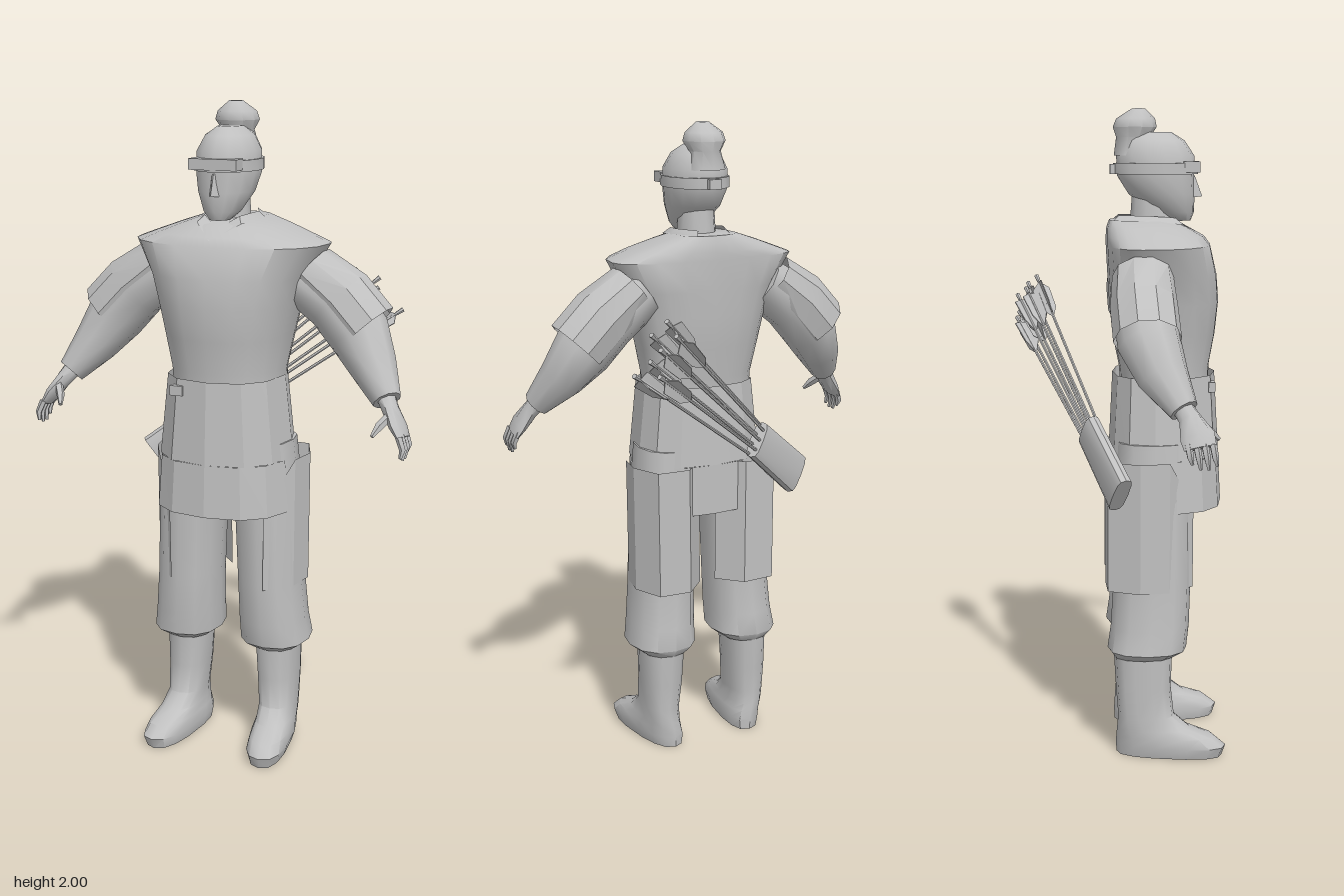
import * as THREE from 'three';
import { toCreasedNormals } from 'three/addons/utils/BufferGeometryUtils.js';

const clay = new THREE.MeshStandardMaterial({ color: 0xc0c0c0, side: THREE.DoubleSide });
clay.name = 'grey clay';

const V = (x, y, z) => new THREE.Vector3(x, y, z);

// Skin rows of points; closed rings can be capped
function skin(rows, closed, caps) {
  const n = rows[0].length, pos = rows.flat().flatMap(p => [p.x, p.y, p.z]), idx = [];
  for (let r = 0; r < rows.length - 1; r++) {
    for (let i = 0; i < (closed ? n : n - 1); i++) {
      const a = r * n + i, b = r * n + (i + 1) % n;
      idx.push(a, b, a + n, b, b + n, a + n);
    }
  }
  if (caps) {
    [0, rows.length - 1].forEach((r, end) => {
      const c = rows[r].reduce((s, p) => s.add(p), V(0, 0, 0)).divideScalar(n);
      const k = pos.length / 3;
      pos.push(c.x, c.y, c.z);
      for (let i = 0; i < n; i++) {
        const a = r * n + i, b = r * n + (i + 1) % n;
        end ? idx.push(k, a, b) : idx.push(k, b, a);
      }
    });
  }
  const g = new THREE.BufferGeometry();
  g.setAttribute('position', new THREE.Float32BufferAttribute(pos, 3));
  g.setIndex(idx);
  return g;
}

// Upright body: rows of [y, centre x, half width, front z, back z, toe-out]
function body(sections, { n = 14, power = 0.85, wide = 0.4, from = 0, to = Math.PI * 2, caps = true } = {}) {
  const closed = to - from > 6.28;
  const bend = v => Math.sign(v) * Math.abs(v) ** power;
  const rows = sections.map(([y, cx, hw, zf, zb, skew = 0]) => {
    const zc = zb + (zf - zb) * wide, row = [];
    for (let i = 0; i < (closed ? n : n + 1); i++) {
      const t = from + (to - from) * i / n, c = bend(Math.cos(t));
      const z = zc + c * (c > 0 ? zf - zc : zc - zb);
      row.push(V(cx + hw * bend(Math.sin(t)) + skew * (z - zc), y, z));
    }
    return row;
  });
  return skin(rows, closed, closed && caps);
}

// Limb along a path: rows of [x, y, z, thickness, depth]
function limb(path, n = 10, caps = true) {
  const pts = path.map(p => V(p[0], p[1], p[2]));
  const rows = path.map(([, , , ra, rb = ra], k) => {
    const d = pts[Math.min(k + 1, pts.length - 1)].clone().sub(pts[Math.max(k - 1, 0)]).normalize();
    const b = V(0, 0, 1).addScaledVector(d, -d.z).normalize();
    const a = d.clone().cross(b);
    return Array.from({ length: n }, (_, i) => {
      const t = i / n * Math.PI * 2;
      return pts[k].clone().addScaledVector(a, ra * Math.sin(t)).addScaledVector(b, rb * Math.cos(t));
    });
  });
  return skin(rows, true, caps);
}

function add(group, name, geo, crease = 0.7) {
  const m = new THREE.Mesh(toCreasedNormals(geo, crease), clay);
  m.name = name;
  group.add(m);
  return m;
}

// Add a left part and its mirrored right twin
function pair(group, name, make, crease) {
  add(group, 'left ' + name, make(), crease);
  const g = make().scale(-1, 1, 1);
  g.setIndex(Array.from(g.index.array).reverse());
  add(group, 'right ' + name, g, crease);
}

export function createModel() {
  const model = new THREE.Group();
  model.name = 'archer';

  // Head, hair and headband
  add(model, 'head', body([
    [1.665, 0, 0.03, 0.24, 0.17], [1.69, 0, 0.055, 0.25, 0.12], [1.745, 0, 0.083, 0.252, 0.05],
    [1.8, 0, 0.095, 0.25, 0.015], [1.86, 0, 0.094, 0.25, 0.012], [1.905, 0, 0.07, 0.22, 0.03],
    [1.93, 0, 0.035, 0.18, 0.06]], { power: 1, wide: 0.5 }), 1);
  add(model, 'nose', skin([
    [V(-0.017, 1.735, 0.245), V(0, 1.738, 0.275), V(0.017, 1.735, 0.245)],
    [V(-0.008, 1.8, 0.245), V(0, 1.8, 0.252), V(0.008, 1.8, 0.245)]], true, true));
  add(model, 'top knot', body([
    [1.86, 0, 0.06, 0.1, 0.005], [1.915, 0, 0.048, 0.115, 0.012], [1.945, 0, 0.066, 0.135, 0.002],
    [1.97, 0, 0.058, 0.13, 0.012], [2, 0, 0.02, 0.1, 0.06]], { n: 10, power: 1, wide: 0.5 }), 0.9);
  add(model, 'headband', body([[1.805, 0, 0.1, 0.262, 0.002], [1.838, 0, 0.1, 0.262, 0.002]],
    { power: 1, wide: 0.5 }));
  add(model, 'headband plate', new THREE.BoxGeometry(0.15, 0.032, 0.05).translate(0, 1.827, 0.238));
  add(model, 'headband knot', new THREE.BoxGeometry(0.04, 0.03, 0.02).translate(0, 1.82, 0.003));
  add(model, 'neck', body([[1.6, 0, 0.065, 0.2, 0.05], [1.74, 0, 0.055, 0.18, 0.06]], { n: 10, power: 1, wide: 0.5 }));

  // Tunic with winged shoulders
  add(model, 'tunic', body([
    [1.16, 0, 0.172, 0.3, 0.025], [1.22, 0, 0.175, 0.3, 0.02], [1.32, 0, 0.195, 0.318, 0],
    [1.42, 0, 0.218, 0.328, -0.01], [1.5, 0, 0.245, 0.322, -0.015], [1.595, 0, 0.302, 0.3, -0.02],
    [1.62, 0, 0.235, 0.28, -0.02], [1.645, 0, 0.165, 0.235, -0.018], [1.668, 0, 0.095, 0.185, -0.01]],
    { n: 20, wide: 0.32 }), 0.9);
  pair(model, 'collar', () => skin([
    [V(0, 1.612, 0.29), V(0.07, 1.655, 0.215), V(0.1, 1.665, 0.1), V(0.06, 1.665, 0.0)],
    [V(0, 1.64, 0.225), V(0.055, 1.675, 0.19), V(0.08, 1.682, 0.1), V(0.045, 1.682, 0.02)]], false));

  // Skirt: short all round, longer in front and behind
  const skirt = [[1.2, 0, 0.178, 0.318, 0.0], [0.95, 0, 0.205, 0.333, -0.012], [0.79, 0, 0.217, 0.342, -0.012]];
  const flare = (rows, o) => body([...rows].reverse(), { n: 12, power: 0.8, caps: false, ...o });
  add(model, 'skirt top', flare(skirt.slice(0, 2)), 0.3);
  add(model, 'front skirt panel', flare(skirt.slice(1), { n: 6, from: -1.35, to: 1.35 }), 0.3);
  add(model, 'back skirt panel', flare(skirt.slice(1), { n: 6, from: 1.9, to: 4.38 }), 0.3);
  add(model, 'belt end', new THREE.BoxGeometry(0.04, 0.03, 0.02).translate(-0.1, 1.165, 0.302));

  // Legs
  pair(model, 'trouser leg', () => body([
    [0.325, 0.148, 0.075, 0.19, 0.0], [0.35, 0.148, 0.107, 0.228, -0.018], [0.42, 0.142, 0.102, 0.236, -0.008],
    [0.55, 0.135, 0.098, 0.24, 0.0], [0.78, 0.127, 0.1, 0.24, 0.0], [1.0, 0.105, 0.1, 0.24, 0.01]],
    { n: 12, wide: 0.5 }), 0.8);
  pair(model, 'thigh guard', () => {
    const line = [[0.155, 0.246], [0.228, 0.17], [0.244, 0.08], [0.205, -0.018], [0.1, -0.024], [0.03, 0.05]];
    const tops = [0.8, 0.95, 0.95, 0.95, 0.95, 0.95];
    return skin([line.map(([x, z]) => V(x - 0.003, 0.545, z)), line.map(([x, z], i) => V(x, tops[i], z))], false);
  }, 0.2);
  pair(model, 'boot', () => body([
    [0, 0.158, 0.056, 0.34, 0.01, 0.12], [0.035, 0.16, 0.066, 0.352, 0.008, 0.12],
    [0.065, 0.16, 0.062, 0.315, 0.01, 0.1], [0.09, 0.158, 0.058, 0.24, 0.012, 0.06],
    [0.13, 0.156, 0.056, 0.19, 0.015], [0.22, 0.153, 0.062, 0.18, 0.008], [0.36, 0.15, 0.067, 0.185, 0.0]],
    { n: 14, power: 0.8, wide: 0.5 }), 0.8);

  // Arms
  pair(model, 'sleeve', () => limb([
    [0.21, 1.5, 0.09, 0.085], [0.32, 1.425, 0.088, 0.093], [0.4, 1.335, 0.098, 0.092],
    [0.455, 1.25, 0.135, 0.07, 0.075], [0.515, 1.165, 0.19, 0.043]]), 0.9);
  pair(model, 'shoulder flap', () => limb([
    [0.24, 1.515, 0.085, 0.08, 0.09], [0.34, 1.435, 0.085, 0.098], [0.42, 1.35, 0.092, 0.098]], 10, false), 0.6);

  // Hands with four fingers and a thumb
  pair(model, 'palm', () => limb([
    [0.505, 1.18, 0.18, 0.03], [0.53, 1.145, 0.205, 0.025, 0.032],
    [0.56, 1.1, 0.225, 0.02, 0.05], [0.578, 1.07, 0.232, 0.013, 0.046]], 8), 0.9);
  for (let i = 0; i < 4; i++) {
    const z = 0.198 + i * 0.023, tip = [1.025, 1.01, 1.01, 1.02][i];
    pair(model, 'finger ' + (i + 1), () => limb([
      [0.575, 1.08, z, 0.011], [0.589, 1.045, z + 0.006, 0.01], [0.584, tip, z + 0.012, 0.005]], 5), 0.9);
  }
  pair(model, 'thumb', () => limb([
    [0.54, 1.135, 0.23, 0.014], [0.515, 1.105, 0.265, 0.013], [0.502, 1.08, 0.29, 0.006]], 5), 0.9);

  // Quiver of arrows slung across the back; local y runs along it
  const quiver = new THREE.Group();
  quiver.name = 'quiver and arrows';
  const u = V(0.63, 0.52, -0.3).normalize();
  const v = V(0, 1, 0).addScaledVector(u, -u.y).normalize();
  quiver.applyMatrix4(new THREE.Matrix4().makeBasis(v, u, v.clone().cross(u)).setPosition(-0.305, 0.872, 0.018));
  model.add(quiver);
  add(quiver, 'quiver case', body([[0, 0, 0.066, 0.026, -0.026], [0.27, 0, 0.06, 0.024, -0.024]],
    { n: 12, power: 0.6, wide: 0.5 }), 0.6);
  for (let i = 0; i < 7; i++) {
    const spread = i - 3, depth = i % 2 ? 1 : -1;
    const start = V(spread * 0.015, 0.2, depth * 0.009);
    const end = V(spread * 0.032, 0.9 - (i * 3 % 4) * 0.02, depth * 0.018);
    const arrow = new THREE.Group(), length = start.distanceTo(end);
    arrow.name = 'arrow ' + (i + 1);
    arrow.position.copy(start);
    arrow.quaternion.setFromUnitVectors(V(0, 1, 0), end.clone().sub(start).normalize());
    quiver.add(arrow);
    add(arrow, 'shaft', new THREE.CylinderGeometry(0.005, 0.005, length, 6).translate(0, length / 2, 0));
    add(arrow, 'nock', new THREE.CylinderGeometry(0.008, 0.006, 0.025, 6).translate(0, length, 0));
    // Three feather vanes
    for (let k = 0; k < 3; k++) {
      const vane = new THREE.Shape([[0, -0.17], [0.027, -0.12], [0.032, -0.035], [0, -0.015]]
        .map(([x, y]) => new THREE.Vector2(x, y + length)));
      add(arrow, 'vane ' + (k + 1), new THREE.ExtrudeGeometry(vane, { depth: 0.003, bevelEnabled: false })
        .translate(0, 0, -0.0015).rotateY(k * Math.PI * 2 / 3 + i));
    }
  }
  return model;
}
